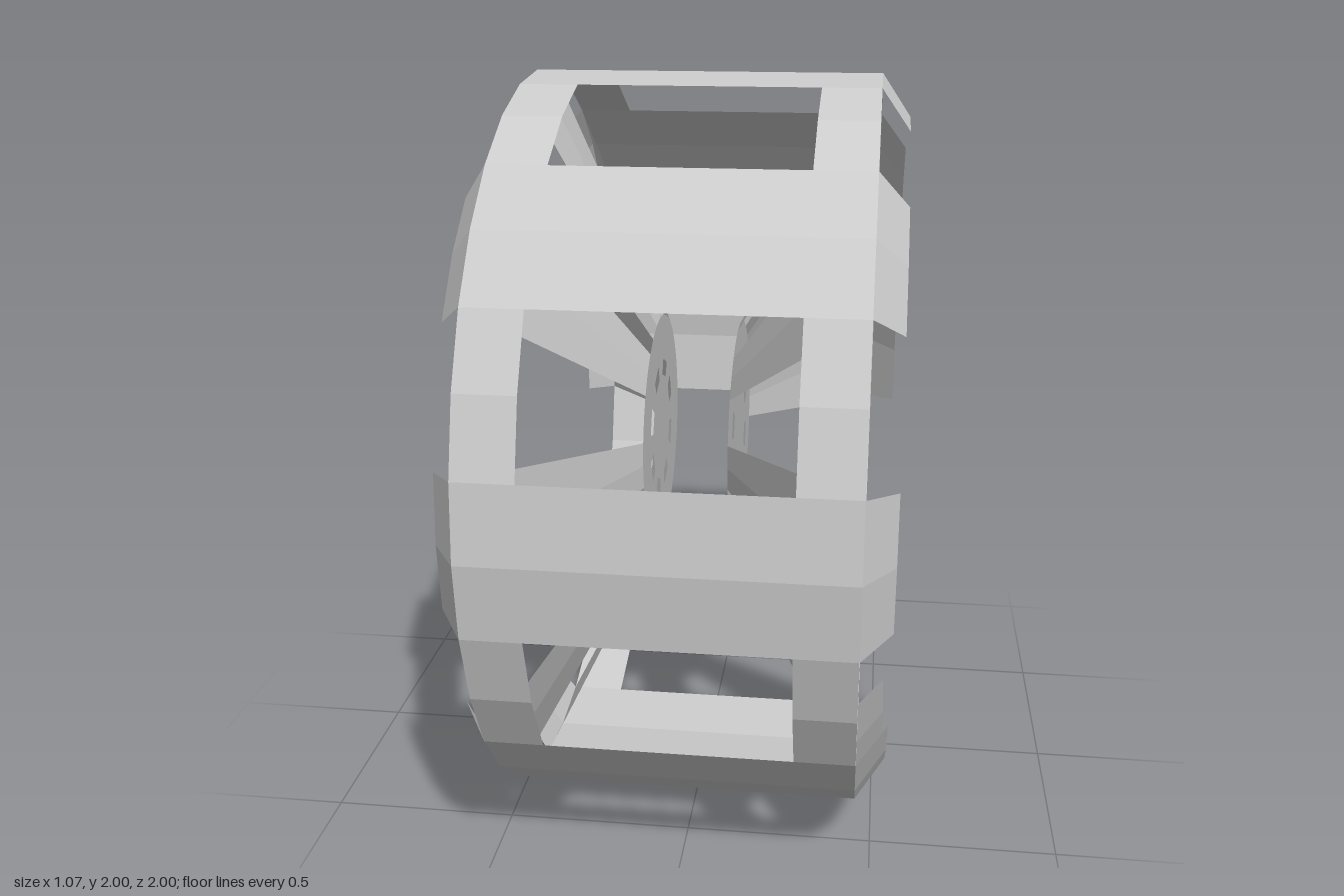
import * as THREE from 'three';
import { mergeGeometries } from 'three/addons/utils/BufferGeometryUtils.js';

const STEP = Math.PI / 16; // the wheel is a 32-gon
const material = new THREE.MeshStandardMaterial({
  color: 0xcccccc, flatShading: true, side: THREE.DoubleSide,
});

// Facets between two rings [x, radius] around the axle, from step `first`, `count` steps long
function loft([xa, ra], [xb, rb], first, count) {
  const positions = [];
  const index = [];
  for (let i = 0; i <= count; i++) {
    const c = Math.cos((first + i) * STEP);
    const s = Math.sin((first + i) * STEP);
    positions.push(xa, ra * c, ra * s, xb, rb * c, rb * s);
    if (i < count) {
      const k = i * 2;
      index.push(k, k + 2, k + 1, k + 1, k + 2, k + 3);
    }
  }
  const g = new THREE.BufferGeometry();
  g.setAttribute('position', new THREE.Float32BufferAttribute(positions, 3));
  g.setIndex(index);
  const flat = g.toNonIndexed();
  flat.computeVertexNormals();
  return flat;
}

const ring = (a, b) => loft(a, b, 0, 32);

// The same two-facet piece at each of the eight spoke positions
function eight(a, b) {
  const parts = [];
  for (let i = 0; i < 8; i++) parts.push(loft(a, b, i * 4 - 1, 2));
  return mergeGeometries(parts);
}

export function createModel() {
  const group = new THREE.Group();
  const wheel = new THREE.Group();
  wheel.name = 'wheel';
  wheel.position.y = 1;
  group.add(wheel);

  const add = (name, geometry) => {
    const mesh = new THREE.Mesh(geometry, material);
    mesh.name = name;
    wheel.add(mesh);
  };

  // Wide treads joining the two hoops
  add('treads', eight([0.305, 1], [-0.315, 1]));

  const sides = [
    { name: 'left', rim: 0.455, hoop: 0.305, lip: 0.53, hub: 0.085, hubR: 0.315, holeR: 0.205 },
    { name: 'right', rim: -0.465, hoop: -0.315, lip: -0.535, hub: -0.14, hubR: 0.325, holeR: 0.195 },
  ];
  for (const s of sides) {
    add(s.name + 'Hoop', ring([s.rim, 1], [s.hoop, 1]));
    // Tabs flaring out and inward from the rim edge
    add(s.name + 'Tabs', eight([s.rim, 1], [s.lip, 0.89]));
    // Tapered spokes sloping in to the hub
    add(s.name + 'Spokes', eight([s.rim, 1], [s.hub, s.hubR]));
    // Flat hub disc with eight holes
    add(s.name + 'Hub', mergeGeometries([
      ring([s.hub, 0], [s.hub, 0.15]),
      eight([s.hub, 0.15], [s.hub, s.holeR]),
      ring([s.hub, s.holeR], [s.hub, s.hubR]),
    ]));
  }
  return group;
}
